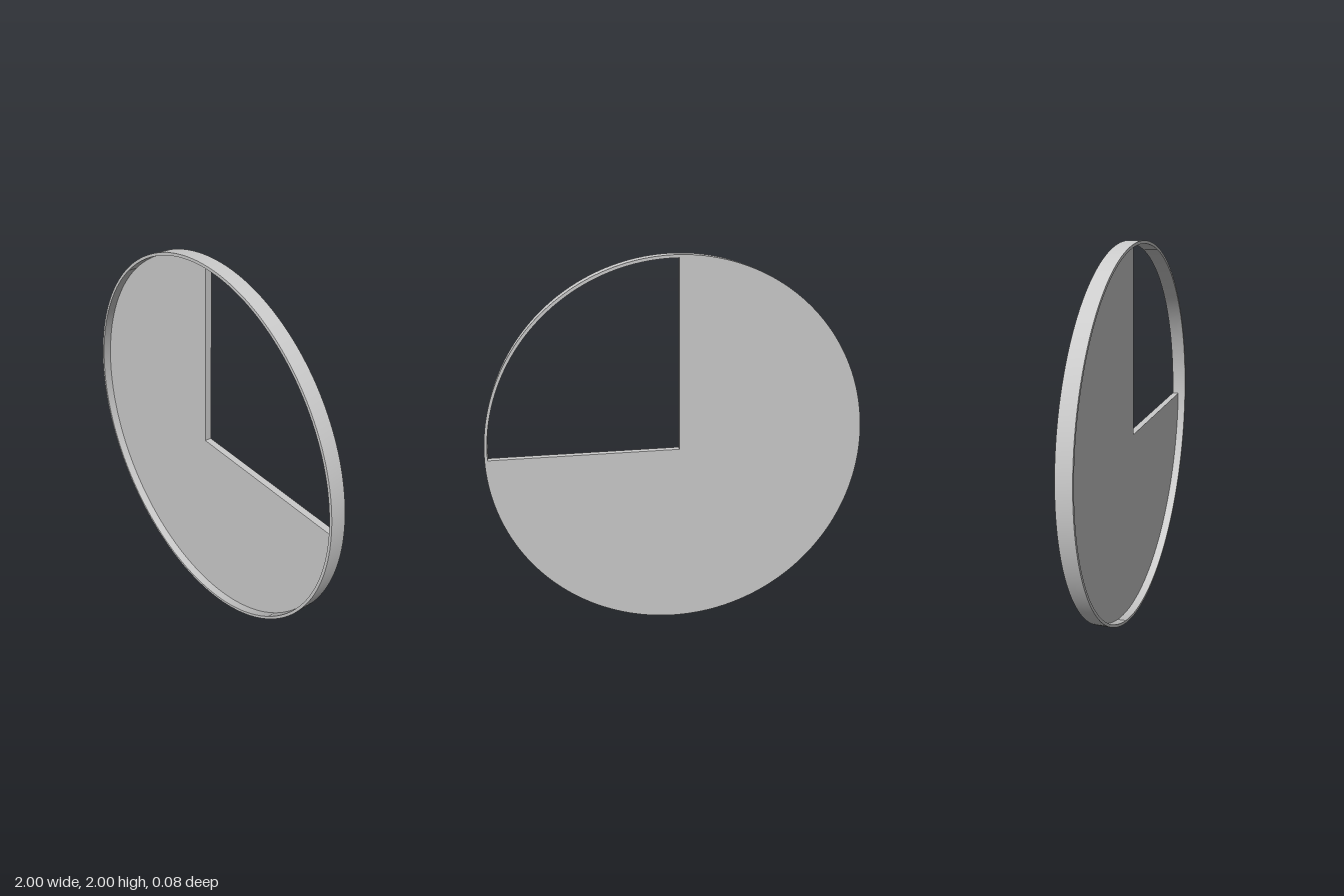
import * as THREE from 'three';
import { toCreasedNormals } from 'three/addons/utils/BufferGeometryUtils.js';

const OUTER = 1, INNER = 0.985;   // rim radii
const BACK = -0.04;               // shared back plane
const RIM_DEPTH = 0.08, PANEL_DEPTH = 0.036;

// Extrude a shape forward from the back plane, smooth around the curve
function slab(name, shape, depth, curveSegments, material) {
  const extruded = new THREE.ExtrudeGeometry(shape, { depth, curveSegments, bevelEnabled: false });
  const mesh = new THREE.Mesh(toCreasedNormals(extruded, Math.PI / 6), material);
  mesh.name = name;
  mesh.position.set(0, OUTER, BACK);
  return mesh;
}

export function createModel() {
  const group = new THREE.Group();
  group.name = 'threeQuarterDisc';
  const grey = new THREE.MeshStandardMaterial({ color: 0xcccccc });

  // Thin full-circle rim
  const ring = new THREE.Shape().absarc(0, 0, OUTER, 0, Math.PI * 2, false);
  ring.holes.push(new THREE.Path().absarc(0, 0, INNER, 0, Math.PI * 2, true));
  group.add(slab('rim', ring, RIM_DEPTH, 96, grey));

  // Three-quarter panel, flush at the back and recessed at the front, upper +x quarter open
  const sector = new THREE.Shape();
  sector.moveTo(0, 0);
  sector.lineTo(0, INNER);
  sector.absarc(0, 0, INNER, Math.PI / 2, Math.PI * 2, false);
  sector.closePath();
  group.add(slab('panel', sector, PANEL_DEPTH, 72, grey));

  return group;
}
